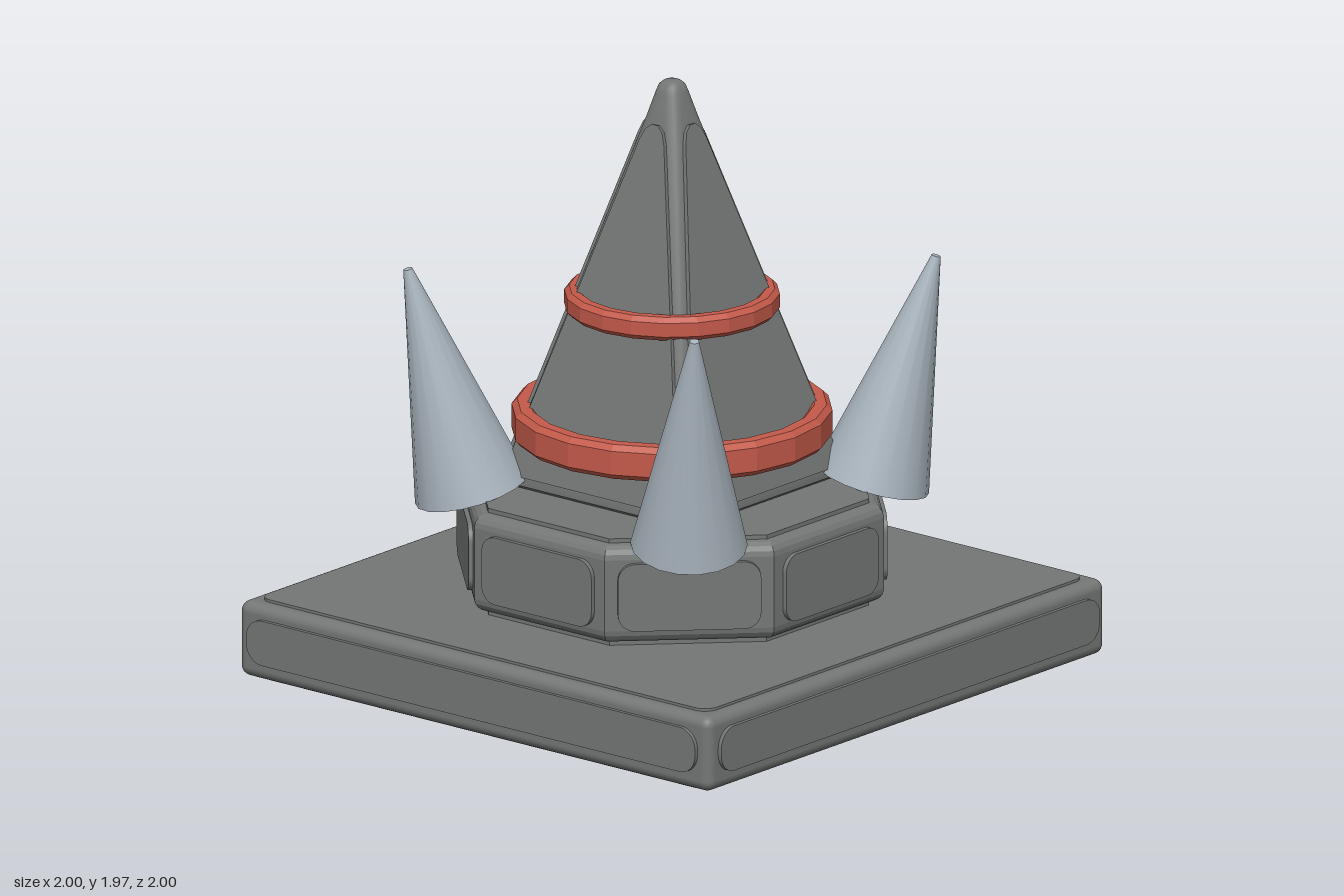
import * as THREE from 'three';
import { toCreasedNormals } from 'three/addons/utils/BufferGeometryUtils.js';
import { RoundedBoxGeometry } from 'three/addons/geometries/RoundedBoxGeometry.js';

const stone = new THREE.MeshStandardMaterial({ color: 0x757777 });
stone.name = 'grey stone';
const red = new THREE.MeshStandardMaterial({ color: 0xc45a4a });
red.name = 'red band';
const steel = new THREE.MeshStandardMaterial({ color: 0xa9b4bd });
steel.name = 'pale steel';

function add(parent, name, geometry, material) {
  const mesh = new THREE.Mesh(geometry, material);
  mesh.name = name;
  parent.add(mesh);
  return mesh;
}

// Rectangle with rounded corners, centred on the origin
function roundedRect(w, h, r) {
  const x = w / 2 - r, y = h / 2 - r, s = new THREE.Shape();
  s.absarc(x, y, r, 0, Math.PI / 2);
  s.absarc(-x, y, r, Math.PI / 2, Math.PI);
  s.absarc(-x, -y, r, Math.PI, Math.PI * 1.5);
  s.absarc(x, -y, r, Math.PI * 1.5, Math.PI * 2);
  s.closePath();
  return s;
}

function octagon(apothem) {
  const r = apothem / Math.cos(Math.PI / 8), pts = [];
  for (let i = 0; i < 8; i++) {
    const a = (i + 0.5) * Math.PI / 4;
    pts.push(new THREE.Vector2(r * Math.cos(a), r * Math.sin(a)));
  }
  return new THREE.Shape(pts);
}

// Raised plate: stands `out` above z = 0 and sinks a little behind it
function plate(shape, out) {
  return new THREE.ExtrudeGeometry(shape, { depth: out + 0.015, bevelEnabled: false, curveSegments: 5 })
    .translate(0, 0, -0.015);
}

// Skin through rounded square sections [y, half width, corner radius]
function squareLoft(sections) {
  const steps = 4, n = 4 * (steps + 1), pos = [], index = [];
  for (const [y, half, r] of sections) {
    for (let c = 0; c < 4; c++) {
      const mid = Math.PI / 4 + c * Math.PI / 2;
      const cx = Math.sign(Math.cos(mid)) * (half - r), cz = Math.sign(Math.sin(mid)) * (half - r);
      for (let k = 0; k <= steps; k++) {
        const a = c * Math.PI / 2 + (k / steps) * Math.PI / 2;
        pos.push(cx + r * Math.cos(a), y, cz + r * Math.sin(a));
      }
    }
  }
  for (let s = 0; s < sections.length - 1; s++) {
    for (let i = 0; i < n; i++) {
      const a = s * n + i, b = s * n + (i + 1) % n;
      index.push(a, a + n, b, b, a + n, b + n);
    }
  }
  // End caps
  const top = (sections.length - 1) * n;
  for (let i = 1; i < n - 1; i++) index.push(0, i, i + 1, top, top + i + 1, top + i);
  const g = new THREE.BufferGeometry();
  g.setAttribute('position', new THREE.Float32BufferAttribute(pos, 3));
  g.setIndex(index);
  return toCreasedNormals(g, 0.6);
}

// Faceted band with chamfered edges
function bandGeometry(inner, outer, y0, y1, c) {
  const profile = [
    [inner + c, y0], [outer - c, y0], [outer, y0 + c], [outer, y1 - c],
    [outer - c, y1], [inner + c, y1], [inner, y1 - c], [inner, y0 + c], [inner + c, y0],
  ].map(([x, y]) => new THREE.Vector2(x, y));
  const g = new THREE.LatheGeometry(profile, 20).toNonIndexed();
  g.computeVertexNormals();
  return g;
}

export function createModel() {
  const model = new THREE.Group();
  model.name = 'spikedMonument';

  // Square base slab with raised panels on every side
  const base = new THREE.Group();
  base.name = 'base';
  model.add(base);
  add(base, 'baseSlab', new RoundedBoxGeometry(1.974, 0.252, 1.974, 3, 0.035), stone).position.y = 0.134;
  const sideShape = roundedRect(1.88, 0.15, 0.065);
  for (let i = 0; i < 4; i++) {
    add(base, 'baseSidePanel', plate(sideShape, 0.013).translate(0, 0.14, 0.987).rotateY(i * Math.PI / 2), stone);
  }
  const slabShape = roundedRect(1.88, 1.88, 0.05);
  add(base, 'baseTopPanel', plate(slabShape, 0.009).rotateX(-Math.PI / 2).translate(0, 0.26, 0), stone);
  add(base, 'baseBottomPanel', plate(slabShape, 0.008).rotateX(Math.PI / 2).translate(0, 0.008, 0), stone);

  // Octagonal plinth with a panel on each face
  const plinth = new THREE.Group();
  plinth.name = 'plinth';
  model.add(plinth);
  const bevel = 0.045;
  add(plinth, 'plinthBlock', new THREE.ExtrudeGeometry(octagon(0.658 - bevel), {
    depth: 0.328 - 2 * bevel, bevelSize: bevel, bevelThickness: bevel, bevelSegments: 4,
  }).rotateX(-Math.PI / 2).translate(0, 0.285 + bevel, 0), stone);
  add(plinth, 'plinthFoot', plate(octagon(0.61), 0.03).rotateX(-Math.PI / 2).translate(0, 0.265, 0), stone);
  add(plinth, 'plinthTopPanel', plate(octagon(0.612), 0.014).rotateX(-Math.PI / 2).translate(0, 0.613, 0), stone);
  const faceShape = roundedRect(0.46, 0.225, 0.055);
  for (let i = 0; i < 8; i++) {
    add(plinth, 'plinthFacePanel', plate(faceShape, 0.015).translate(0, 0.445, 0.658).rotateY(i * Math.PI / 4), stone);
  }

  // Tapered pyramid with rounded edges and a blunt tip
  const pyramid = new THREE.Group();
  pyramid.name = 'pyramid';
  model.add(pyramid);
  add(pyramid, 'pyramidBody', squareLoft([
    [0.625, 0.375, 0.035], [0.64, 0.395, 0.04], [0.67, 0.395, 0.04], [1.85, 0.07, 0.04],
    [1.93, 0.048, 0.035], [1.955, 0.039, 0.03], [1.967, 0.026, 0.02], [1.97, 0.012, 0.01],
  ]), stone);
  const half = [[0.345, 0], [0.36, 0.02], [0.052, 1.15], [0.035, 1.19], [0.012, 1.208]];
  const outline = [...half, ...half.map(([x, y]) => [-x, y]).reverse()];
  const faceOutline = new THREE.Shape(outline.map(([x, y]) => new THREE.Vector2(x, y)));
  const tilt = Math.atan((0.395 - 0.07) / (1.85 - 0.67));
  for (let i = 0; i < 4; i++) {
    add(pyramid, 'pyramidFacePanel', plate(faceOutline, 0.013).rotateX(-tilt)
      .translate(0, 0.67, 0.395).rotateY(i * Math.PI / 2), stone);
  }

  // Red bands around the pyramid
  add(model, 'lowerBand', bandGeometry(0.44, 0.515, 0.775, 0.89, 0.018), red);
  add(model, 'upperBand', bandGeometry(0.285, 0.346, 1.197, 1.275, 0.016), red);

  // Four spikes leaning outward over the plinth corners
  const up = new THREE.Vector3(0, 1, 0);
  for (const sx of [1, -1]) {
    for (const sz of [1, -1]) {
      const foot = new THREE.Vector3(0.455 * sx, 0.615, 0.455 * sz);
      const tip = new THREE.Vector3(0.6 * sx, 1.357, 0.6 * sz);
      const axis = tip.clone().sub(foot);
      const spike = add(model, 'spike', new THREE.CylinderGeometry(0.015, 0.188, axis.length(), 18), steel);
      spike.position.copy(foot).add(tip).multiplyScalar(0.5);
      spike.quaternion.setFromUnitVectors(up, axis.normalize());
    }
  }
  return model;
}
